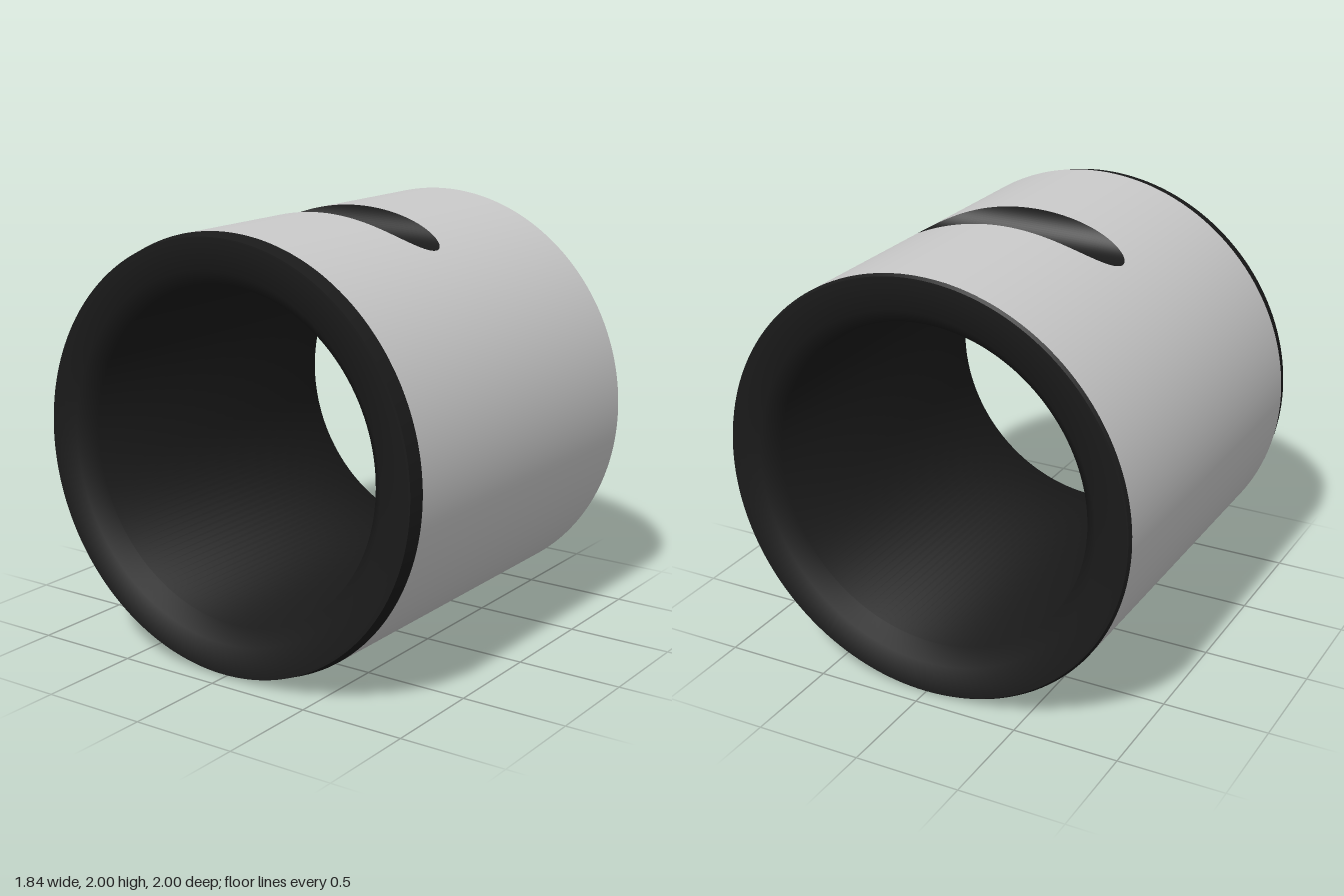
import * as THREE from 'three';
import { toCreasedNormals } from 'three/addons/utils/BufferGeometryUtils.js';

const GROOVE_R = 0.15;      // radius of the round cutter
const GROOVE_Y = 1.005;     // height of the cutter above the sleeve axis
const GROOVE_ANGLE = Math.acos(GROOVE_Y - GROOVE_R); // half angle of sleeve it touches
const N = 28;               // samples along half the groove
const REST = 132;           // samples around the uncut part

// Surface from a rule: at(i, j) returns [position, normal]
function grid(rows, cols, at) {
  const pos = [], nor = [], index = [];
  for (let i = 0; i <= rows; i++) {
    for (let j = 0; j <= cols; j++) {
      const [p, n] = at(i, j);
      pos.push(...p);
      nor.push(...n);
      if (i < rows && j < cols) {
        const a = i * (cols + 1) + j, b = a + cols + 1;
        index.push(a, b, a + 1, b, b + 1, a + 1);
      }
    }
  }
  const geo = new THREE.BufferGeometry();
  geo.setAttribute('position', new THREE.Float32BufferAttribute(pos, 3));
  geo.setAttribute('normal', new THREE.Float32BufferAttribute(nor, 3));
  geo.setIndex(index);
  return geo;
}

// Half width of the groove where it meets the sleeve at an angle from the top
function halfWidth(angle) {
  const d = GROOVE_Y - Math.cos(angle);
  return Math.sqrt(Math.max(0, GROOVE_R ** 2 - d * d));
}

// Angles crowd toward the groove tips, where its outline turns quickly
const grooveAngle = (k) => GROOVE_ANGLE * Math.sin((k / N) * Math.PI / 2);

// Outer skin on one side of the groove
function skinHalf(side, end) {
  return grid(2 * N + REST, 1, (i, j) => {
    const angle = i <= 2 * N
      ? grooveAngle(i - N)
      : GROOVE_ANGLE + ((i - 2 * N) / REST) * 2 * (Math.PI - GROOVE_ANGLE);
    const inner = i <= 2 * N ? side * halfWidth(angle) : 0;
    const x = (j === 0) === (side < 0) ? end : inner;
    const c = Math.cos(angle), s = Math.sin(angle);
    return [[x, c, s], [0, c, s]];
  });
}

// Round groove floor, running front to back
function grooveFloor() {
  return grid(1, 2 * N, (i, j) => {
    const k = j - N;
    const angle = grooveAngle(N - Math.abs(k));
    const x = Math.sign(k) * halfWidth(angle);
    const y = Math.cos(angle);
    const z = (i === 0 ? -1 : 1) * Math.sin(angle);
    return [[x, y, z], [-x / GROOVE_R, (GROOVE_Y - y) / GROOVE_R, 0]];
  });
}

export function createModel() {
  const group = new THREE.Group();
  const grey = new THREE.MeshStandardMaterial({ color: 0xcccccc });
  const dark = new THREE.MeshStandardMaterial({ color: 0x1a1a1a });

  const add = (name, geometry, material) => {
    const mesh = new THREE.Mesh(geometry, material);
    mesh.name = name;
    mesh.position.y = 1;
    group.add(mesh);
  };

  add('outerSkinRight', skinHalf(-1, -0.85), grey);
  add('outerSkinLeft', skinHalf(1, 0.905), grey);
  add('topGroove', grooveFloor(), dark);

  // Chamfered ends and bore, turned in one profile (radius, position along axis)
  const profile = [
    [1, 0.905], [0.99, 0.92], [0.84, 0.92], [0.77, 0.85],
    [0.77, -0.85], [0.84, -0.92], [0.985, -0.92], [1, -0.85],
  ].map(([r, x]) => new THREE.Vector2(r, x));
  const bore = new THREE.LatheGeometry(profile, 160).rotateZ(-Math.PI / 2);
  add('endsAndBore', toCreasedNormals(bore, 0.9), dark);

  return group;
}
